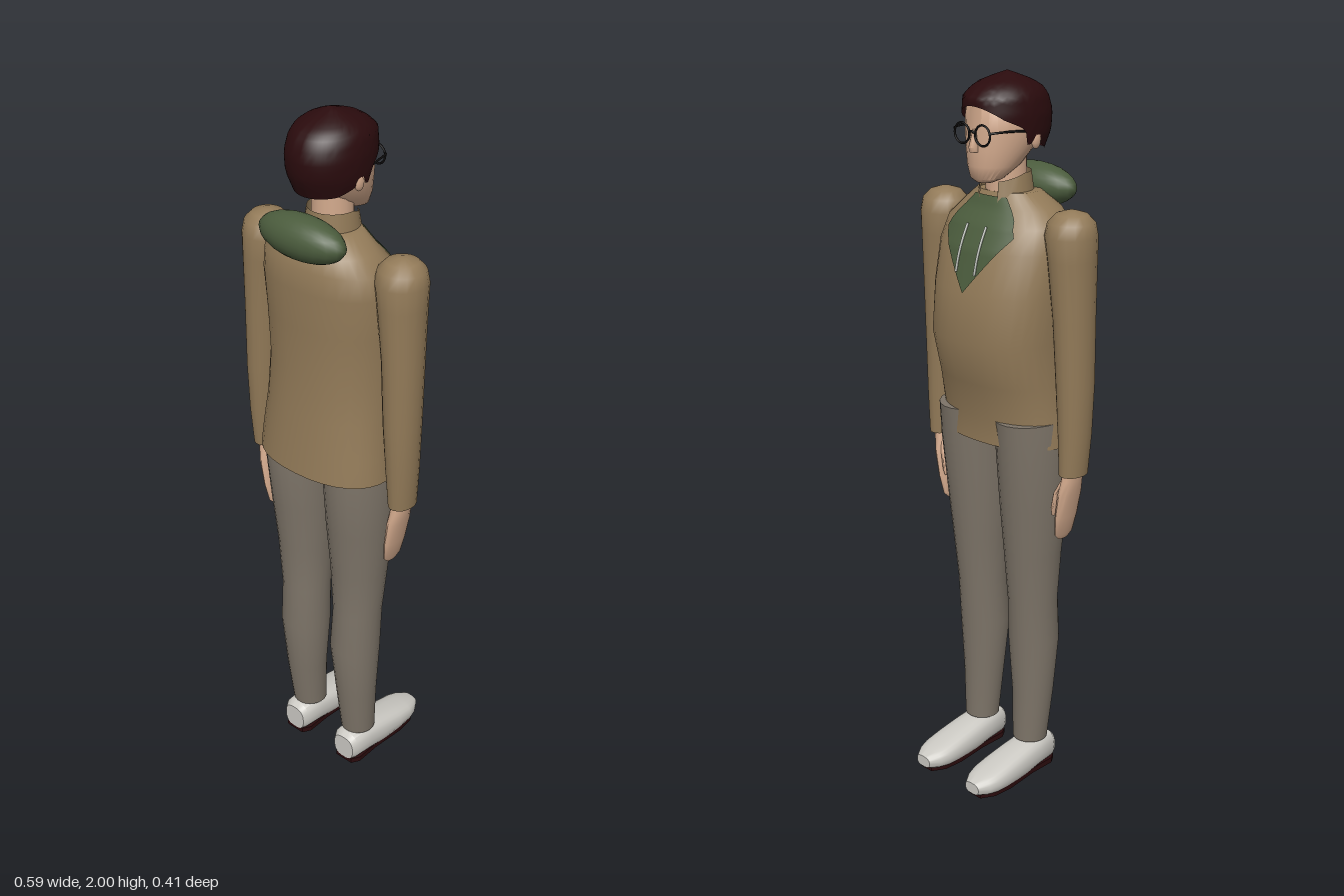
import * as THREE from 'three';
import { toCreasedNormals } from 'three/addons/utils/BufferGeometryUtils.js';

const mat = (name, color, side = THREE.FrontSide) => {
  const m = new THREE.MeshStandardMaterial({ color, side });
  m.name = name;
  return m;
};

// Surface from a grid of points p(u, v); v runs upwards, u counter to the outward normal
function surface(p, nu, nv) {
  const pos = [], idx = [];
  for (let j = 0; j <= nv; j++)
    for (let i = 0; i <= nu; i++) pos.push(...p(i / nu, j / nv));
  for (let j = 0; j < nv; j++)
    for (let i = 0; i < nu; i++) {
      const a = j * (nu + 1) + i, b = a + nu + 1;
      idx.push(a, b, a + 1, a + 1, b, b + 1);
    }
  const g = new THREE.BufferGeometry();
  g.setAttribute('position', new THREE.Float32BufferAttribute(pos, 3));
  g.setIndex(idx);
  return toCreasedNormals(g, 0.75);
}

const power = (v, e) => Math.sign(v) * Math.abs(v) ** e;

// Closed body through sections [y, cx, cz, rx, rz], bottom to top
function loft(sections, sides = 20, e = 1) {
  const first = [...sections[0]], last = [...sections.at(-1)];
  first[3] = first[4] = last[3] = last[4] = 0;
  const rings = [first, ...sections, last];
  const n = rings.length - 1;
  return surface((u, v) => {
    const [y, cx, cz, rx, rz] = rings[Math.round(v * n)];
    const a = u * Math.PI * 2;
    return [cx + rx * power(Math.cos(a), e), y, cz + rz * power(Math.sin(a), e)];
  }, sides, n);
}

// Linear lookup in rows sorted by their first value
function lookup(rows, t) {
  let i = 0;
  while (i < rows.length - 2 && t > rows[i + 1][0]) i++;
  const a = rows[i], b = rows[i + 1];
  const k = THREE.MathUtils.clamp((t - a[0]) / (b[0] - a[0]), 0, 1);
  return a.map((v, c) => v + (b[c] - v) * k);
}

// [y, half width, front z, back z] to loft sections
const profile = rows => rows.map(([y, rx, f, b]) => [y, 0, (f + b) / 2, rx, (b - f) / 2]);

const TORSO = [
  [1.03, 0.207, -0.085, 0.187], [1.1, 0.2, -0.086, 0.18], [1.2, 0.191, -0.112, 0.17],
  [1.32, 0.19, -0.146, 0.162], [1.45, 0.194, -0.128, 0.163], [1.56, 0.195, -0.1, 0.168],
  [1.62, 0.184, -0.07, 0.165], [1.66, 0.145, -0.04, 0.15], [1.7, 0.09, -0.022, 0.11],
];
const TORSO_E = 0.88;
function chestZ(x, y) {
  const [, rx, f, b] = lookup(TORSO, y);
  const k = Math.max(0, 1 - Math.abs(x / rx) ** (2 / TORSO_E));
  return (f + b) / 2 - (b - f) / 2 * k ** (TORSO_E / 2);
}

const HAIR = [
  [1.8, 0.09, -0.08, 0.138], [1.85, 0.103, -0.088, 0.16], [1.9, 0.105, -0.092, 0.163],
  [1.94, 0.098, -0.091, 0.15], [1.96, 0.085, -0.068, 0.132], [1.975, 0.065, -0.042, 0.105],
  [1.988, 0.036, 0, 0.07], [2, 0.002, 0.033, 0.037],
];
// Hairline height from back (-1) to front (1)
const HAIRLINE = [
  [-1, 1.8], [-0.6, 1.805], [-0.2, 1.825], [-0.05, 1.85], [0.05, 1.85], [0.1, 1.825],
  [0.24, 1.825], [0.3, 1.865], [0.7, 1.89], [1, 1.922],
];

export function createModel() {
  const root = new THREE.Group();
  root.name = 'standingPerson';
  const jacket = mat('jacketBrown', 0x927a58, THREE.DoubleSide);
  const trousers = mat('trouserGrey', 0x7d7468);
  const skin = mat('skin', 0xd2a98c);
  const hair = mat('darkMaroon', 0x2a0b0d, THREE.DoubleSide);
  const green = mat('hoodGreen', 0x4b5c3d, THREE.DoubleSide);
  const shoe = mat('shoeLightGrey', 0xcbc9c3);
  const black = mat('glassesBlack', 0x0e0c0c);
  const cord = mat('cordGrey', 0xb4b8b0);

  const add = (name, geometry, material, x = 0, y = 0, z = 0) => {
    const m = new THREE.Mesh(geometry, material);
    m.name = name;
    m.position.set(x, y, z);
    root.add(m);
    return m;
  };
  const tube = (points, r, closed = false) => new THREE.TubeGeometry(
    new THREE.CatmullRomCurve3(points.map(p => new THREE.Vector3(...p)), closed), 12, r, 6, closed);

  // Jacket body, seat and standing collar
  add('jacketBody', loft(profile(TORSO), 32, TORSO_E), jacket);
  add('seat', loft([[0.988, 0, 0.06, 0.06, 0.06], [1.01, 0, 0.065, 0.09, 0.085],
    [1.04, 0, 0.065, 0.11, 0.1]], 20), jacket);
  add('collar', surface((u, v) => {
    const a = -Math.PI / 2 + 0.45 + u * (Math.PI * 2 - 0.9);
    const r = 0.078 - 0.012 * v, front = Math.max(0, -Math.sin(a));
    return [r * Math.cos(a), 1.66 + v * (0.088 - 0.022 * front), 0.032 + r * Math.sin(a)];
  }, 24, 2), jacket);

  // Green shirt front lying on the chest, its cords and the rolled hood
  const SHIRT = [[1.45, 0], [1.6, 0.118], [1.64, 0.1], [1.69, 0.055]];
  add('shirtFront', surface((u, v) => {
    const y = 1.45 + 0.24 * v, x = (1 - 2 * u) * lookup(SHIRT, y)[1];
    return [x, y, chestZ(x, y) - 0.005];
  }, 12, 24), green);
  add('hoodRoll', new THREE.SphereGeometry(1, 20, 14).scale(0.137, 0.058, 0.058), green, 0, 1.698, 0.145);

  // Neck and head
  add('neck', new THREE.CylinderGeometry(0.052, 0.056, 0.14, 18), skin, 0, 1.74, 0.033);
  add('head', loft(profile([
    [1.728, 0.024, -0.068, -0.025], [1.738, 0.045, -0.079, 0], [1.77, 0.066, -0.085, 0.06],
    [1.81, 0.08, -0.086, 0.105], [1.86, 0.093, -0.085, 0.142], [1.92, 0.092, -0.082, 0.145],
    [1.96, 0.06, -0.04, 0.105],
  ]), 28), skin);
  add('nose', loft([[1.808, 0, -0.084, 0.012, 0.014], [1.82, 0, -0.086, 0.013, 0.016],
    [1.865, 0, -0.082, 0.006, 0.006]], 10), skin);
  add('crownPoint', new THREE.OctahedronGeometry(0.005), skin, 0, 1.995, 0.035);

  // Hair cap with a shaped hairline
  add('hair', surface((u, v) => {
    const a = u * Math.PI * 2;
    const low = lookup(HAIRLINE, -Math.sin(a))[1];
    const y = low + (2 - low) * (1 - (1 - v) ** 1.6);
    const [, rx, f, b] = lookup(HAIR, y);
    return [rx * Math.cos(a), y, (f + b) / 2 + (b - f) / 2 * Math.sin(a)];
  }, 64, 16), hair);
  add('glassesBridge', tube([[-0.01, 1.857, -0.093], [0, 1.861, -0.095], [0.01, 1.857, -0.093]], 0.003), black);

  // Paired parts
  for (const s of [-1, 1]) {
    const side = s > 0 ? 'left' : 'right';
    const mirror = rows => rows.map(([y, x, ...rest]) => [y, x * s, ...rest]);

    add(side + 'Ear', new THREE.SphereGeometry(1, 10, 8).scale(0.01, 0.024, 0.016), skin, s * 0.094, 1.835, 0.042);
    add(side + 'GlassesRim', new THREE.TorusGeometry(0.026, 0.003, 6, 20), black, s * 0.036, 1.853, -0.092);
    add(side + 'GlassesTemple', tube([[s * 0.061, 1.86, -0.092], [s * 0.07, 1.862, -0.085],
      [s * 0.085, 1.862, -0.03], [s * 0.098, 1.857, 0.035]], 0.003), black);
    add(side + 'Cord', tube([1.62, 1.58, 1.54, 1.5].map(y => [s * 0.033, y, chestZ(0.033, y) - 0.008]), 0.0035), cord);

    add(side + 'Sleeve', loft(mirror([
      [0.968, 0.246, 0.035, 0.034, 0.045], [1.08, 0.246, 0.038, 0.041, 0.051],
      [1.22, 0.243, 0.039, 0.048, 0.056], [1.4, 0.238, 0.036, 0.053, 0.061],
      [1.55, 0.23, 0.034, 0.062, 0.068], [1.61, 0.226, 0.033, 0.068, 0.07],
      [1.645, 0.226, 0.033, 0.062, 0.062], [1.666, 0.226, 0.033, 0.042, 0.042],
      [1.675, 0.226, 0.033, 0.012, 0.012],
    ]), 18), jacket);
    add(side + 'Hand', loft(mirror([
      [0.77, 0.213, 0.035, 0.005, 0.018], [0.785, 0.215, 0.035, 0.01, 0.034],
      [0.84, 0.223, 0.035, 0.015, 0.043], [0.91, 0.234, 0.035, 0.02, 0.044],
      [0.95, 0.241, 0.035, 0.022, 0.036], [1, 0.246, 0.035, 0.022, 0.03],
    ]), 16), skin);
    add(side + 'Thumb', loft(mirror([
      [0.845, 0.206, 0.004, 0.005, 0.006], [0.865, 0.208, 0.004, 0.009, 0.011],
      [0.91, 0.216, 0.008, 0.011, 0.013], [0.945, 0.23, 0.018, 0.01, 0.012],
    ]), 10), skin);

    add(side + 'TrouserLeg', loft(mirror([
      [0.1, 0.097, 0.036, 0.05, 0.05], [0.25, 0.098, 0.046, 0.059, 0.06],
      [0.42, 0.096, 0.05, 0.072, 0.073], [0.55, 0.098, 0.042, 0.069, 0.073],
      [0.7, 0.1, 0.038, 0.079, 0.084], [0.85, 0.102, 0.038, 0.09, 0.1],
      [1, 0.105, 0.037, 0.096, 0.116], [1.1, 0.104, 0.03, 0.093, 0.119],
    ]), 22), trousers);

    // Shoe runs heel to toe with a flattened bottom
    const upper = loft([
      [-0.105, 0, 0.048, 0.036, 0.038], [-0.09, 0, 0.054, 0.045, 0.046],
      [-0.03, 0, 0.053, 0.05, 0.048], [0.03, 0, 0.045, 0.053, 0.047],
      [0.1, 0, 0.038, 0.055, 0.041], [0.15, 0, 0.034, 0.053, 0.033],
      [0.18, 0, 0.032, 0.045, 0.027], [0.21, 0, 0.03, 0.026, 0.017],
    ], 22, 0.75).rotateX(-Math.PI / 2);
    add(side + 'Shoe', upper, shoe, s * 0.1);

    // Thin dark sole
    const outline = [[0.03, -0.104], [0.044, -0.08], [0.042, 0], [0.05, 0.1], [0.044, 0.16], [0.022, 0.198]];
    const shape = new THREE.Shape([...outline, ...outline.map(([x, y]) => [-x, y]).reverse()]
      .map(p => new THREE.Vector2(...p)));
    add(side + 'Sole', new THREE.ExtrudeGeometry(shape, { depth: 0.016, bevelEnabled: false })
      .rotateX(-Math.PI / 2), hair, s * 0.1);
  }
  return root;
}
